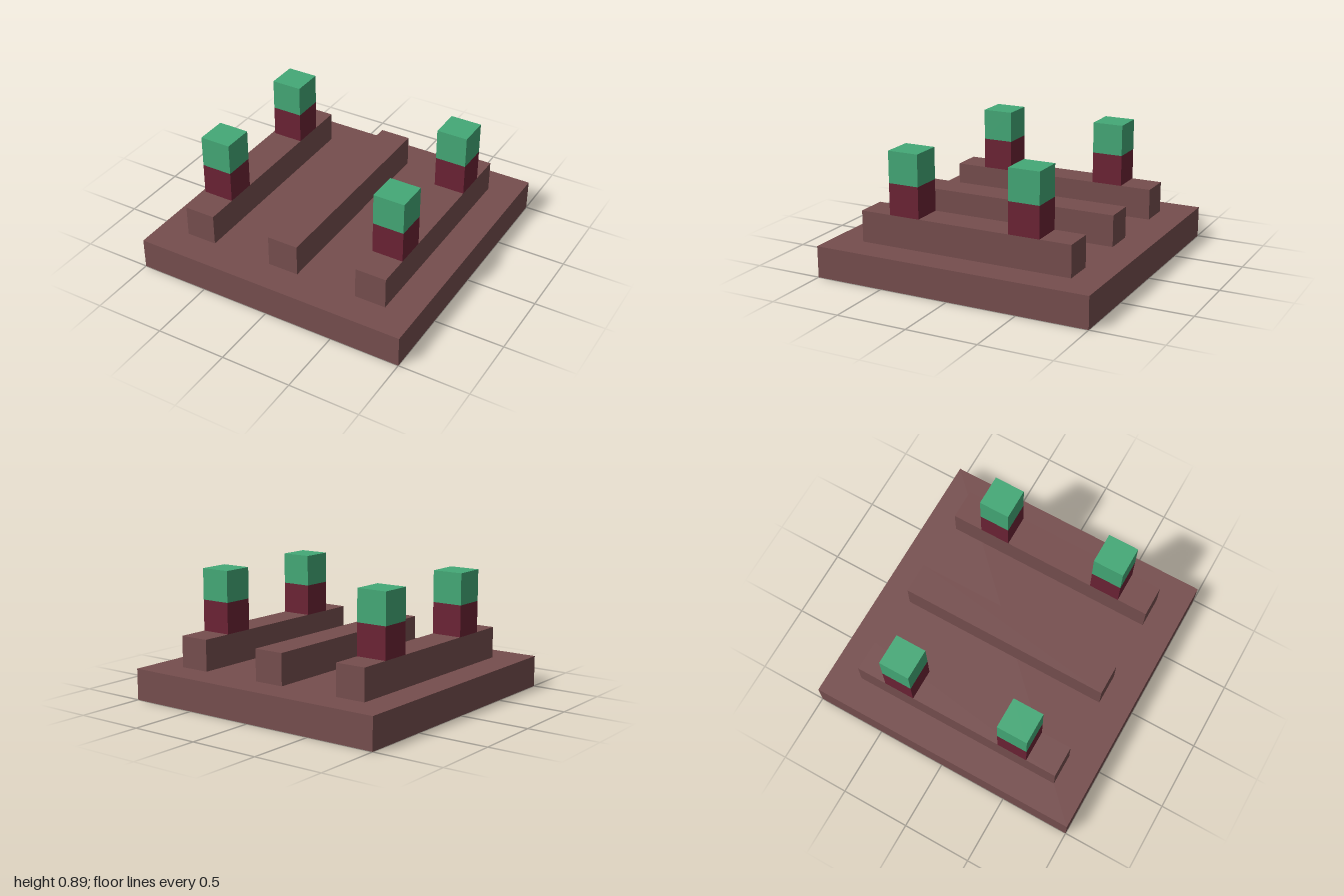
import * as THREE from 'three';

// One grid unit: the base is nine units wide
const U = 2 / 9;

function material(name, color) {
  const m = new THREE.MeshStandardMaterial({ color });
  m.name = name;
  return m;
}

export function createModel() {
  const model = new THREE.Group();
  model.name = 'railedPlatform';

  const brown = material('dustyBrown', 0x764e4e);
  const maroon = material('maroon', 0x6c2335);
  const green = material('green', 0x44a977);

  // Block sized and placed in grid units; y is its underside
  function block(name, mat, [w, h, d], [x, y, z]) {
    const mesh = new THREE.Mesh(new THREE.BoxGeometry(w * U, h * U, d * U), mat);
    mesh.name = name;
    mesh.position.set(x * U, (y + h / 2) * U, z * U);
    model.add(mesh);
  }

  // Square base slab
  block('base', brown, [9, 1, 9], [0, 0, 0]);

  // Three parallel rails running front to back
  for (const [name, x] of [['rightRail', -3], ['middleRail', 0], ['leftRail', 3]]) {
    block(name, brown, [1, 1, 7], [x, 1, 0]);
  }

  // Two-tone posts on the outer rails
  for (const [side, x] of [['Right', -3], ['Left', 3]]) {
    for (const [end, z] of [['front', 2], ['back', -2]]) {
      block(`${end}${side}Post`, maroon, [1, 1, 1], [x, 2, z]);
      block(`${end}${side}PostCap`, green, [1, 1, 1], [x, 3, z]);
    }
  }

  return model;
}
